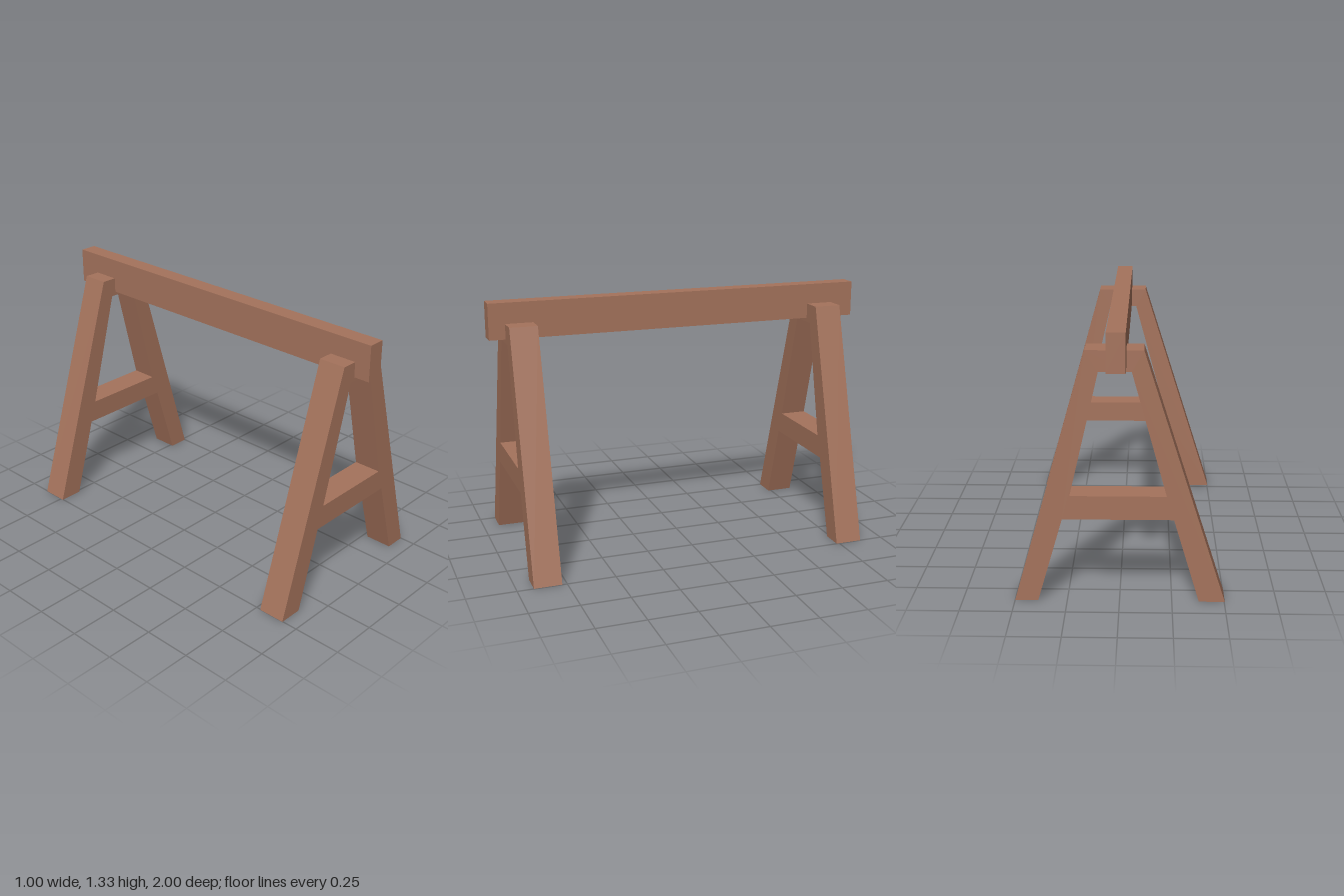
import * as THREE from 'three';

const path = (pts) => pts.map(([x, y]) => new THREE.Vector2(x, y));

export function createModel() {
  const model = new THREE.Group();
  model.name = 'sawhorse';
  const wood = new THREE.MeshStandardMaterial({ color: 0xa5735c });
  wood.name = 'brown wood';

  // A-shaped trestle outline: splayed legs, cross rail and flat top
  const outline = new THREE.Shape(path([
    [-0.503, 0], [-0.379, 0], [-0.256, 0.415], [0.27, 0.415],
    [0.389, 0], [0.5, 0], [0.157, 1.226], [-0.113, 1.226],
  ]));
  // Opening between the legs, above the rail
  outline.holes.push(new THREE.Path(path([
    [-0.221, 0.531], [-0.057, 1.127], [0.096, 1.127], [0.233, 0.531],
  ])));
  const depth = 0.142;
  const trestle = new THREE.ExtrudeGeometry(outline, { depth, bevelEnabled: false });

  // One trestle near each end of the beam
  for (const [name, z] of [['frontTrestle', 0.775], ['backTrestle', -0.876]]) {
    const mesh = new THREE.Mesh(trestle, wood);
    mesh.name = name;
    mesh.position.z = z;
    model.add(mesh);
  }

  // Long top beam, let into both trestles
  const beam = new THREE.Mesh(new THREE.BoxGeometry(0.088, 0.184, 2), wood);
  beam.name = 'topBeam';
  beam.position.set(0.012, 1.24, 0);
  model.add(beam);

  return model;
}
